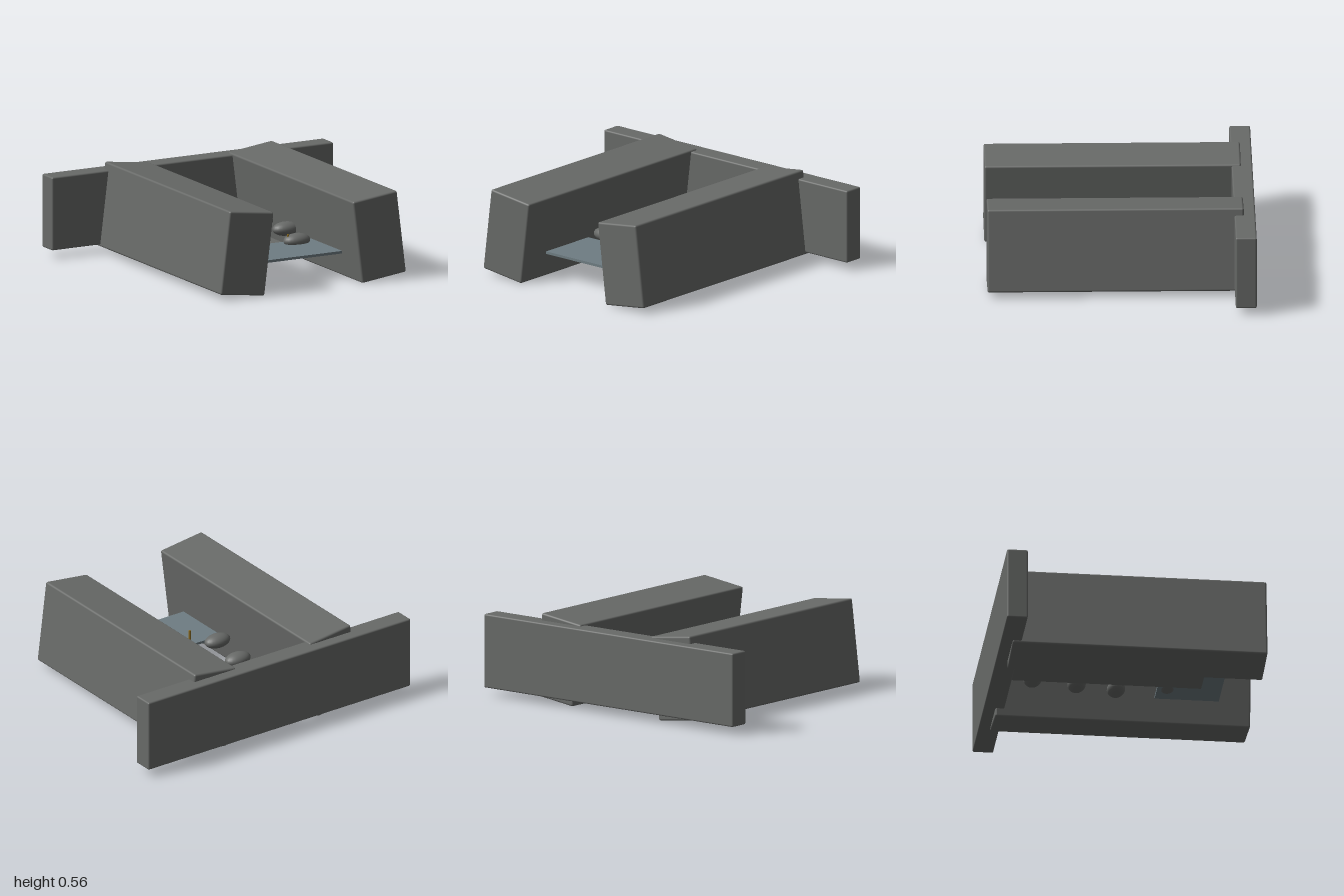
import * as THREE from 'three';
import { RoundedBoxGeometry } from 'three/addons/geometries/RoundedBoxGeometry.js';

export function createModel() {
  const model = new THREE.Group();
  const stone = new THREE.MeshStandardMaterial({ color: 0x686a68 });
  const water = new THREE.MeshStandardMaterial({ color: 0x6f7d83 });
  const reed = new THREE.MeshStandardMaterial({ color: 0x8a6a20 });

  const add = (name, geometry, material, x, y, z) => {
    const mesh = new THREE.Mesh(geometry, material);
    mesh.name = name;
    mesh.position.set(x, y, z);
    model.add(mesh);
    return mesh;
  };

  // Two long canyon walls, leaning in towards the gap at the bottom
  const wallShape = new RoundedBoxGeometry(0.316, 0.528, 1.59, 2, 0.012);
  for (const side of [-1, 1]) {
    const wall = add(side > 0 ? 'leftWall' : 'rightWall', wallShape, stone, side * 0.47, 0.286, 0.035);
    wall.rotation.z = side * 0.125;
  }

  // Wide wall closing the far end
  add('backWall', new RoundedBoxGeometry(2, 0.465, 0.13, 2, 0.01), stone, 0, 0.288, -0.767);

  // Path along the gap and the pool lying over its front end
  add('path', new THREE.BoxGeometry(0.26, 0.012, 1.22), stone, 0, 0.159, -0.11);
  add('pool', new THREE.BoxGeometry(0.63, 0.016, 0.4), water, 0, 0.167, 0.43);

  // Flattened boulders scattered along both sides
  const boulderShape = new THREE.SphereGeometry(1, 24, 16);
  const boulders = [
    [0.18, -0.545], [-0.28, -0.405], [0.23, -0.265], [-0.187, -0.125],
    [0.275, -0.015], [-0.233, 0.155], [0.18, 0.295],
  ];
  boulders.forEach(([x, z], i) => {
    add(`boulder${i + 1}`, boulderShape, stone, x, 0.192, z).scale.set(0.09, 0.044, 0.057);
  });

  // Thin stakes standing in the pool
  for (const x of [-0.122, 0.117]) {
    add('stake', new THREE.CylinderGeometry(0.007, 0.007, 0.066, 8), reed, x, 0.203, 0.295);
  }

  return model;
}
